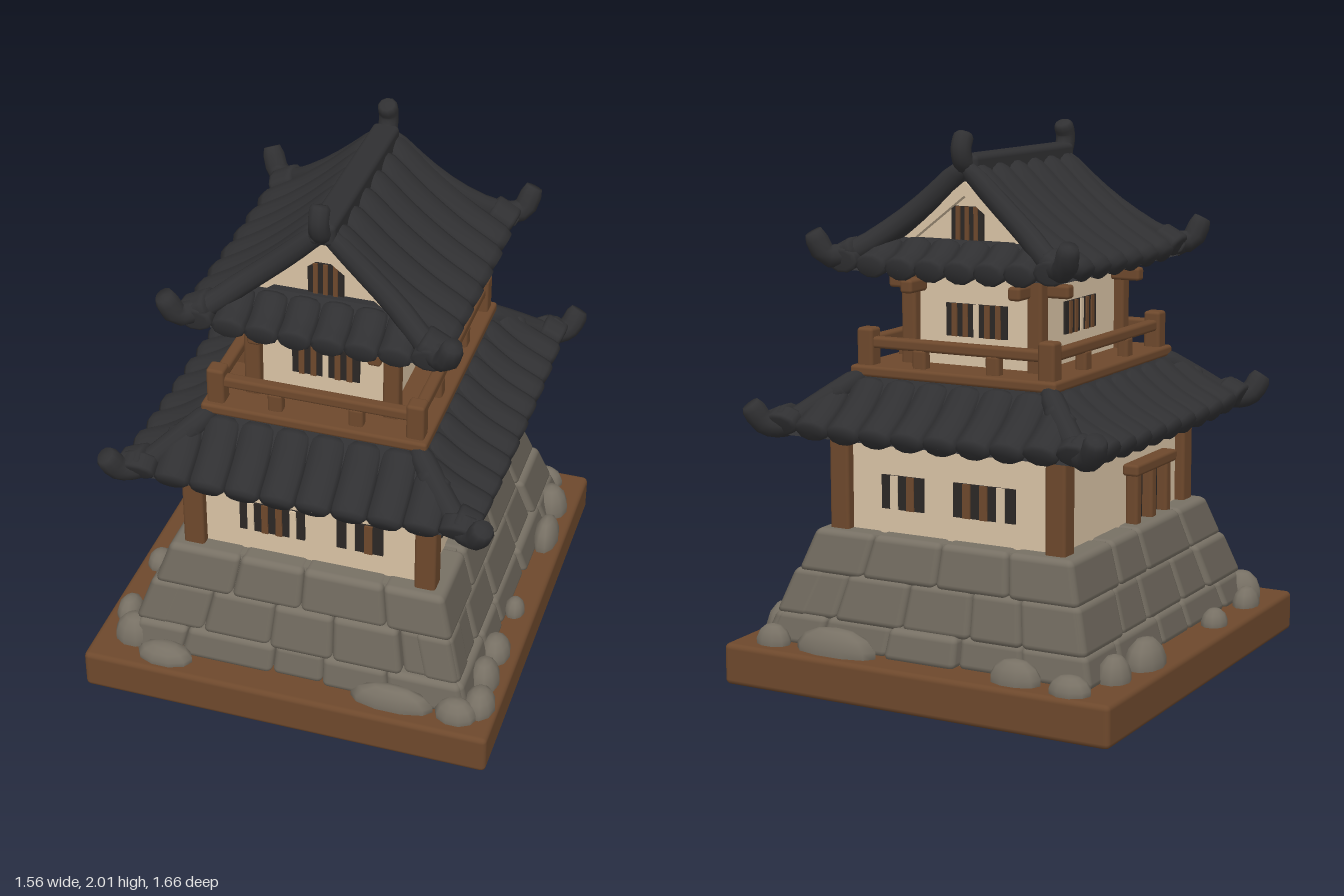
import * as THREE from 'three';
import { RoundedBoxGeometry } from 'three/addons/geometries/RoundedBoxGeometry.js';

const paint = (name, color) => Object.assign(new THREE.MeshStandardMaterial({ color }), { name });
const V = (x, y, z) => new THREE.Vector3(x, y, z);

export function createModel() {
  const tile = paint('roof tile', 0x303032), wood = paint('wood', 0x6d482c);
  const stone = paint('stone', 0x777064), plaster = paint('plaster', 0xd8c2a4);
  const dark = paint('window dark', 0x2b2725);
  const model = new THREE.Group();
  model.name = 'castleKeep';

  let seed = 7;
  const rand = () => (seed = (seed * 16807) % 2147483647) / 2147483647;

  const add = (parent, name, geo, mat, x = 0, y = 0, z = 0) => {
    const m = new THREE.Mesh(geo, mat);
    m.name = name;
    m.position.set(x, y, z);
    parent.add(m);
    return m;
  };
  const group = (parent, name, x = 0, y = 0, z = 0, turn = 0) => {
    const g = new THREE.Group();
    g.name = name;
    g.position.set(x, y, z);
    g.rotation.y = turn;
    parent.add(g);
    return g;
  };
  const box = (p, name, w, h, d, mat, x, y, z) => add(p, name, new THREE.BoxGeometry(w, h, d), mat, x, y, z);
  const rbox = (p, name, w, h, d, mat, x, y, z, r = 0.012) =>
    add(p, name, new RoundedBoxGeometry(w, h, d, 2, r), mat, x, y, z);

  // Box whose top has its own half sizes
  const frustum = (p, name, bx, bz, y0, tx, tz, y1, mat) => {
    const g = new THREE.BoxGeometry(2, y1 - y0, 2), a = g.attributes.position;
    for (let i = 0; i < a.count; i++) {
      const top = a.getY(i) > 0;
      a.setXYZ(i, a.getX(i) * (top ? tx : bx), a.getY(i) + (y0 + y1) / 2, a.getZ(i) * (top ? tz : bz));
    }
    g.computeVertexNormals();
    return add(p, name, g, mat);
  };

  // Rounded roll with an elliptical section along a path
  const roll = (p, name, pts, side, w, h, mat) => {
    const curve = new THREE.CatmullRomCurve3(pts), M = 10, pos = [], idx = [];
    const rings = [[0, 0.01], [0, 0.7], [0.06, 0.95]];
    for (let i = 1; i < 10; i++) rings.push([0.06 + 0.088 * i, 1]);
    rings.push([0.94, 0.97], [1, 0.75], [1, 0.01]);
    rings.forEach(([t, s], i) => {
      const c = curve.getPoint(t), n = curve.getTangent(t).cross(side).normalize();
      for (let j = 0; j < M; j++) {
        const a = (j / M) * Math.PI * 2;
        const q = c.clone().addScaledVector(side, w * s * Math.cos(a)).addScaledVector(n, h * s * Math.sin(a));
        pos.push(q.x, q.y, q.z);
        if (i < rings.length - 1) {
          const k = (j + 1) % M, b = i * M;
          idx.push(b + j, b + k, b + M + j, b + k, b + M + k, b + M + j);
        }
      }
    });
    const g = new THREE.BufferGeometry();
    g.setAttribute('position', new THREE.Float32BufferAttribute(pos, 3));
    g.setIndex(idx);
    g.computeVertexNormals();
    return add(p, name, g, mat);
  };

  // One roof slope: tile rolls from the hip line down to the eave
  const slope = (roof, turn, n, eave, path, half) => {
    const p = group(roof, 'roofSlope', 0, 0, 0, turn);
    const curve = new THREE.CatmullRomCurve3(path.map(([z, y]) => V(0, y, z)));
    const w = eave / n;
    for (let i = 0; i < n; i++) {
      const s = -eave + w * (2 * i + 1), pts = [];
      let v0 = 0;
      while (v0 < 0.8 && half(v0) < Math.abs(s) - 0.01) v0 += 0.02;
      for (let k = 0; k <= 6; k++) {
        const v = v0 + (1 - v0) * k / 6, q = curve.getPoint(v);
        pts.push(V(s, q.y + 0.035 * v * (s / eave) ** 4, q.z));
      }
      roll(p, 'tileRoll', pts, V(1, 0, 0), w * 1.06, 0.046, tile);
    }
  };
  // Same corner ridge mirrored to all four corners
  const hips = (roof, name, pts, r) => {
    for (const sx of [-1, 1]) for (const sz of [-1, 1])
      roll(roof, name, pts.map(([x, y, z]) => V(x * sx, y, z * sz)), V(sz, 0, -sx).normalize(), r, r, tile);
  };

  // Ground slab
  rbox(model, 'groundSlab', 1.56, 0.155, 1.66, wood, 0, 0.0775, 0, 0.02);

  // Battered stone base: courses of blocks over a core
  const base = group(model, 'stoneBase', 0.015, 0, 0.005);
  frustum(base, 'stoneCore', 0.62, 0.67, 0.15, 0.495, 0.55, 0.555, stone);
  const batter = (top, y) => top + (0.56 - y) * 0.33;
  for (let f = 0; f < 4; f++) {
    const face = group(base, 'stoneFace', 0, 0, 0, f * Math.PI / 2);
    const [along, out] = f % 2 ? [0.58, 0.525] : [0.525, 0.58];
    [[0.15, 0.26, 5], [0.25, 0.415, 5], [0.405, 0.56, 4]].forEach(([y0, y1, n], c) => {
      const cuts = [];
      for (let i = 0; i <= n; i++) cuts.push(-1 + 2 * i / n + (i % n ? (rand() - 0.5) * 0.16 : 0));
      for (let i = 0; i < n; i++) {
        const ym = (y0 + y1) / 2, L = batter(along, ym), bulge = c < 2 ? rand() * 0.03 - 0.012 : 0;
        const g = new RoundedBoxGeometry((cuts[i + 1] - cuts[i]) * L - 0.003, y1 - y0, 0.13, 3, 0.022);
        const a = g.attributes.position;
        for (let k = 0; k < a.count; k++) {
          const y = a.getY(k) + ym, x = a.getX(k) + (cuts[i] + cuts[i + 1]) / 2 * L;
          a.setXYZ(k, x * batter(along, y) / L, y, a.getZ(k) - 0.065 + batter(out, y) + bulge);
        }
        add(face, 'stoneBlock', g, stone);
      }
    });
  }

  // Loose rocks on the slab: x, z, half width, height, half depth
  const rocks = [[-0.69, -0.35, 0.07, 0.1, 0.1], [-0.67, -0.56, 0.06, 0.09, 0.07], [-0.6, -0.76, 0.08, 0.06, 0.06],
    [-0.38, -0.74, 0.1, 0.08, 0.06], [0.35, -0.74, 0.17, 0.09, 0.06], [0.68, -0.57, 0.07, 0.11, 0.08],
    [0.71, -0.37, 0.05, 0.1, 0.1], [0.7, 0.1, 0.04, 0.06, 0.05], [0.69, 0.36, 0.06, 0.08, 0.08],
    [0.69, 0.52, 0.06, 0.1, 0.08], [0.71, 0.66, 0.06, 0.08, 0.08], [0.64, 0.73, 0.08, 0.07, 0.06],
    [0.4, 0.74, 0.16, 0.08, 0.05], [-0.48, 0.75, 0.11, 0.06, 0.06], [-0.63, 0.67, 0.08, 0.1, 0.07],
    [-0.7, 0.55, 0.05, 0.07, 0.07], [-0.7, 0.24, 0.05, 0.06, 0.06], [0.62, -0.74, 0.07, 0.07, 0.05]];
  for (const [x, z, w, h, d] of rocks)
    add(model, 'rock', new THREE.SphereGeometry(1, 10, 7), stone, x, 0.16, z).scale.set(w, h, d);

  // Barred window on a wall whose outside faces local +z
  const windowAt = (p, x, y, w, h, bars) => {
    const g = group(p, 'barredWindow', x, y, 0);
    box(g, 'windowOpening', w, h, 0.008, dark, 0, 0, 0.004);
    bars.forEach((mat, i) => {
      const step = w / (bars.length + 0.6);
      box(g, 'windowBar', step * 0.45, h, 0.008, mat, (i + 0.5 - bars.length / 2) * step, 0, 0.01);
    });
  };
  const storey = (name, hx, hz, y0, y1, post, cz) => {
    const s = group(model, name, 0.018, 0, cz);
    box(s, 'plasterWall', hx * 2, y1 - y0, hz * 2, plaster, 0, (y0 + y1) / 2, 0);
    for (const sx of [-1, 1]) for (const sz of [-1, 1])
      rbox(s, 'cornerPost', post, y1 - y0, post, wood, sx * (hx + 0.038 - post / 2), (y0 + y1) / 2, sz * (hz + 0.038 - post / 2));
    return [0, 1, 2, 3].map(f => {
      const r = f % 2 ? hx : hz, a = f * Math.PI / 2;
      return group(s, 'wallFace', Math.sin(a) * r, 0, Math.cos(a) * r, a);
    });
  };

  // Lower storey
  const lower = storey('lowerStorey', 0.445, 0.505, 0.54, 1.0, 0.08, 0.007);
  for (const f of [0, 2]) {
    const m = f ? -1 : 1;
    windowAt(lower[f], -0.145 * m, 0.71, 0.25, 0.125, f ? [wood, wood, plaster] : [plaster, wood, wood, plaster]);
    windowAt(lower[f], 0.19 * m, 0.71, 0.175, 0.125, [plaster, wood]);
  }
  windowAt(lower[1], -0.26, 0.71, 0.175, 0.125, [wood, plaster]);
  windowAt(lower[1], 0.26, 0.71, 0.175, 0.125, [plaster, wood]);

  // Framed door on the right-hand side
  const door = group(lower[3], 'door', 0.17, 0, 0);
  box(door, 'doorPanel', 0.24, 0.2, 0.009, dark, 0, 0.65, 0.005);
  for (const x of [-0.13, 0, 0.13]) rbox(door, 'doorPost', 0.045, 0.21, 0.05, wood, x, 0.655, 0.025);
  rbox(door, 'doorLintel', 0.35, 0.045, 0.065, wood, 0, 0.765, 0.03);

  // Lower skirt roof
  const skirt = group(model, 'lowerRoof', 0.02, 0, 0.005);
  frustum(skirt, 'roofCore', 0.62, 0.66, 0.915, 0.4, 0.47, 1.13, tile);
  for (let f = 0; f < 4; f++) {
    const [e, t, oe, ot, n] = f % 2 ? [0.7, 0.48, 0.655, 0.39, 11] : [0.66, 0.4, 0.695, 0.47, 10];
    slope(skirt, f * Math.PI / 2, n, e, [[ot, 1.1], [(ot + oe) / 2, 1.0], [oe, 0.93]], v => t + (e - t) * v);
  }
  hips(skirt, 'hipRidge', [[0.38, 1.12, 0.46], [0.5, 1.02, 0.57], [0.6, 0.95, 0.65], [0.66, 0.96, 0.69], [0.695, 1.03, 0.725]], 0.045);

  // Balcony with railing
  const balcony = group(model, 'balcony', 0.022, 0, 0.008);
  rbox(balcony, 'balconyFloor', 0.84, 0.04, 0.98, wood, 0, 1.14, 0);
  for (const s of [-1, 1]) {
    rbox(balcony, 'topRail', 0.76, 0.042, 0.045, wood, 0, 1.242, s * 0.435);
    rbox(balcony, 'topRail', 0.045, 0.042, 0.88, wood, s * 0.37, 1.242, 0);
    for (const t of [-1, 1]) {
      rbox(balcony, 'railCorner', 0.066, 0.15, 0.066, wood, s * 0.37, 1.22, t * 0.435);
      rbox(balcony, 'railPost', 0.055, 0.08, 0.045, wood, t * 0.15, 1.19, s * 0.435);
      rbox(balcony, 'railPost', 0.045, 0.08, 0.055, wood, s * 0.37, 1.19, t * 0.172);
    }
  }

  // Upper storey
  const upper = storey('upperStorey', 0.25, 0.325, 1.13, 1.53, 0.06, 0.02);
  upper.forEach((f, i) => {
    windowAt(f, 0.01, 1.327, 0.25, 0.12, [wood, wood, plaster, wood, wood]);
    for (const s of [-1, 1]) rbox(f, 'eaveBracket', 0.05, 0.05, 0.12, wood, s * (i % 2 ? 0.29 : 0.22), 1.45, 0.06);
  });

  // Upper hip-and-gable roof
  const roof = group(model, 'upperRoof', 0.033, 0, 0.015);
  frustum(roof, 'roofCore', 0.45, 0.5, 1.505, 0.3, 0.37, 1.62, tile);
  for (const f of [0, 2])
    slope(roof, f * Math.PI / 2, 8, 0.48, [[0.37, 1.6], [0.45, 1.545], [0.53, 1.52]], v => 0.31 + 0.17 * v);
  for (const f of [1, 3])
    slope(roof, f * Math.PI / 2, 8, 0.53, [[0.02, 1.87], [0.16, 1.735], [0.32, 1.61], [0.47, 1.52]], v => 0.36 + 0.17 * v ** 3);
  hips(roof, 'vergeRidge', [[0.01, 1.88, 0.36], [0.14, 1.76, 0.37], [0.28, 1.65, 0.405], [0.41, 1.565, 0.48],
    [0.48, 1.56, 0.53], [0.515, 1.645, 0.56]], 0.043);

  // Gable ends: plaster triangle, raised border and small window
  const triangle = (C, w, y0, y1) => {
    const s = new C();
    s.moveTo(-w, y0);
    s.lineTo(w, y0);
    s.lineTo(0, y1);
    s.closePath();
    return s;
  };
  const wallShape = triangle(THREE.Shape, 0.31, 1.59, 1.83);
  const border = triangle(THREE.Shape, 0.31, 1.59, 1.83);
  border.holes.push(triangle(THREE.Path, 0.22, 1.61, 1.78));
  add(roof, 'gableWall', new THREE.ExtrudeGeometry(wallShape, { depth: 0.68, bevelEnabled: false }), plaster, 0, 0, -0.34);
  for (const f of [0, 1]) {
    const g = group(roof, 'gableEnd', 0, 0, f ? -0.34 : 0.34, f * Math.PI);
    add(g, 'gableBorder', new THREE.ExtrudeGeometry(border, { depth: 0.03, bevelEnabled: false }), plaster);
    windowAt(g, 0, 1.68, 0.13, 0.12, [wood, wood, wood]);
  }

  // Top ridge with curled ends
  rbox(roof, 'topRidge', 0.1, 0.085, 0.77, tile, 0, 1.882, 0.015, 0.02);
  for (const s of [-1, 1])
    roll(roof, 'ridgeHorn', [[0.34, 1.87], [0.39, 1.9], [0.405, 1.95], [0.38, 2.0]].map(([z, y]) => V(0, y, 0.015 + s * z)),
      V(1, 0, 0), 0.037, 0.037, tile);
  return model;
}
